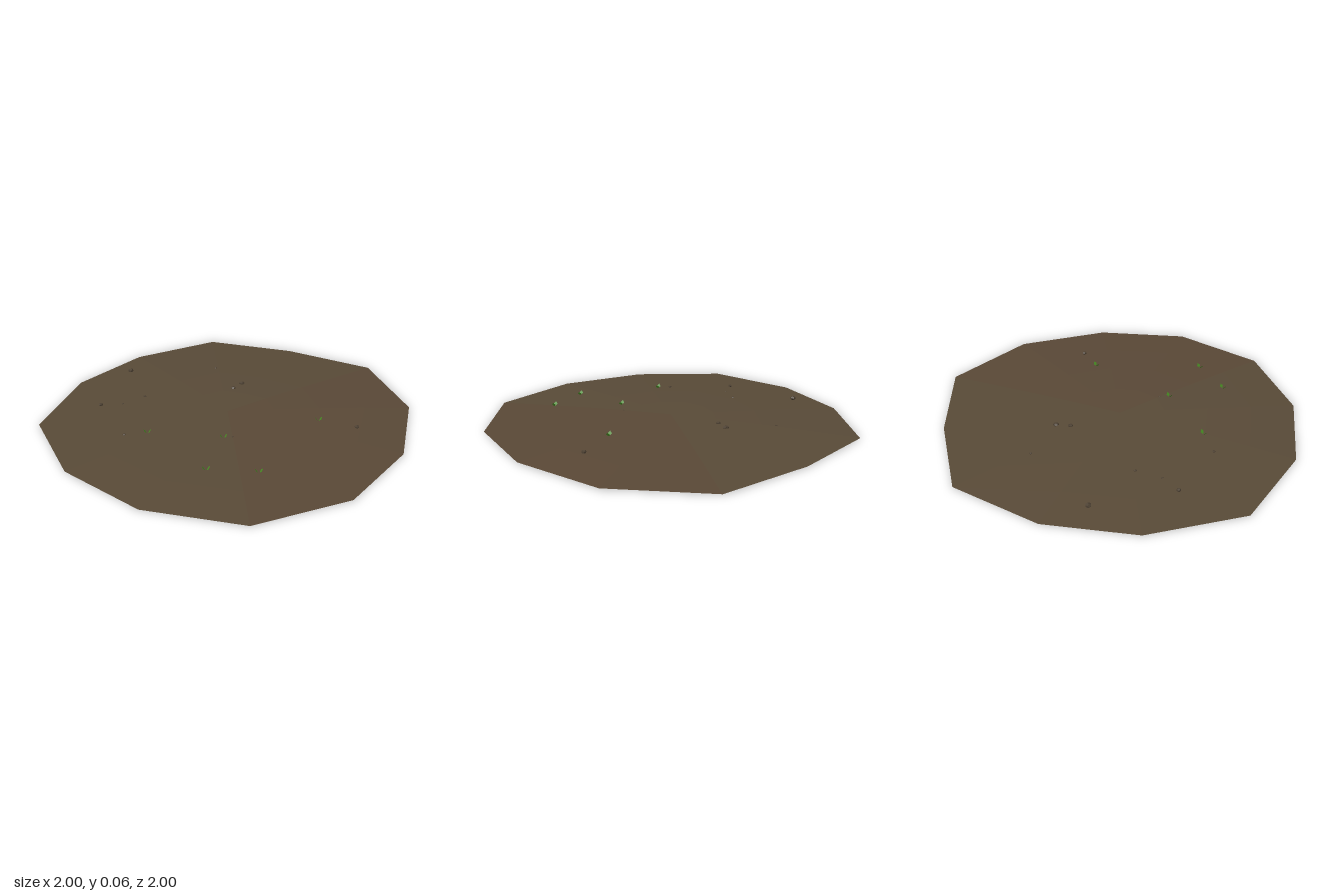
import * as THREE from 'three';

const mat = (name, color, opts = {}) => {
  const m = new THREE.MeshStandardMaterial({ color, ...opts });
  m.name = name;
  return m;
};

// Uneven twelve-sided outline, as [x, z]
const OUTLINE = [
  [0, -1], [0.47, -0.81], [0.9, -0.52], [1, 0], [0.83, 0.48], [0.49, 0.85],
  [0, 1], [-0.48, 0.83], [-0.83, 0.48], [-1, 0], [-0.81, -0.48], [-0.47, -0.81],
];
// Dome profile from rim to crown, as [scale, y]
const PROFILE = [[1, 0.004], [0.75, 0.015], [0.5, 0.024], [0.25, 0.03], [0, 0.032]];

// Wedges of the mound between two outline corners, closed underneath
function moundSection(first, last) {
  const pos = [];
  const at = (i, [s, y]) => {
    const [x, z] = OUTLINE[i % OUTLINE.length];
    return [x * s, y, z * s];
  };
  for (let i = first; i < last; i++) {
    for (let k = 0; k < PROFILE.length - 1; k++) {
      const a = at(i, PROFILE[k]), b = at(i + 1, PROFILE[k]);
      const c = at(i + 1, PROFILE[k + 1]), d = at(i, PROFILE[k + 1]);
      pos.push(...a, ...d, ...b);
      if (PROFILE[k + 1][0] > 0) pos.push(...b, ...d, ...c);
    }
    pos.push(...at(i, PROFILE[0]), ...at(i + 1, PROFILE[0]), 0, 0, 0);
  }
  const g = new THREE.BufferGeometry();
  g.setAttribute('position', new THREE.Float32BufferAttribute(pos, 3));
  g.computeVertexNormals();
  return g;
}

// Diamond leaf leaning outwards to the given side
function leafGeometry(side) {
  const g = new THREE.BufferGeometry();
  g.setAttribute('position', new THREE.Float32BufferAttribute([
    side * 0.004, 0.043, 0,
    side * 0.012, 0.054, 0.011,
    side * 0.02, 0.065, 0,
    side * 0.012, 0.054, -0.011,
  ], 3));
  g.setIndex(side > 0 ? [0, 2, 1, 0, 3, 2] : [0, 1, 2, 0, 2, 3]);
  g.computeVertexNormals();
  return g;
}

export function createModel() {
  const model = new THREE.Group();
  model.name = 'dirtPatch';
  const soil = mat('soil brown', 0x584a37, { flatShading: true });
  const warmSoil = mat('warm soil brown', 0x594836, { flatShading: true });
  const stone = mat('pebble brown', 0x4c4032, { flatShading: true });
  const green = mat('leaf green', 0x468a22, { side: THREE.DoubleSide });

  const add = (parent, name, geometry, material) => {
    const mesh = new THREE.Mesh(geometry, material);
    mesh.name = name;
    parent.add(mesh);
    return mesh;
  };

  // Low mound in two soil tones
  add(model, 'moundWarmSide', moundSection(2, 6), warmSoil);
  add(model, 'moundMain', moundSection(6, 14), soil);

  // Pebbles: x, y, z, radius
  const pebbles = new THREE.Group();
  pebbles.name = 'pebbles';
  model.add(pebbles);
  [
    [-0.52, 0.028, -0.57, 0.016], [0.06, 0.029, -0.28, 0.014],
    [0.115, 0.029, -0.335, 0.016], [-0.68, 0.023, -0.16, 0.012],
    [0.655, 0.024, 0.22, 0.013], [-0.44, 0.022, -0.235, 0.009],
    [-0.55, 0.021, 0.18, 0.009], [-0.56, 0.02, -0.163, 0.006],
    [-0.015, 0.021, -0.57, 0.008], [0, 0.027, 0.27, 0.007],
  ].forEach(([x, y, z, r], i) => {
    const p = add(pebbles, 'pebble', new THREE.DodecahedronGeometry(r), stone);
    p.position.set(x, y, z);
    p.rotation.y = i * 1.3;
    p.scale.y = 0.7;
  });

  // Seedlings: a pair of leaves each
  const leaves = [leafGeometry(-1), leafGeometry(1)];
  [[-0.43, 0.215], [0.46, 0.17], [-0.05, 0.3], [-0.16, 0.595], [0.085, 0.64]].forEach(([x, z]) => {
    const sprout = new THREE.Group();
    sprout.name = 'sprout';
    leaves.forEach((g) => add(sprout, 'leaf', g, green));
    sprout.position.set(x, 0, z);
    model.add(sprout);
  });

  return model;
}
